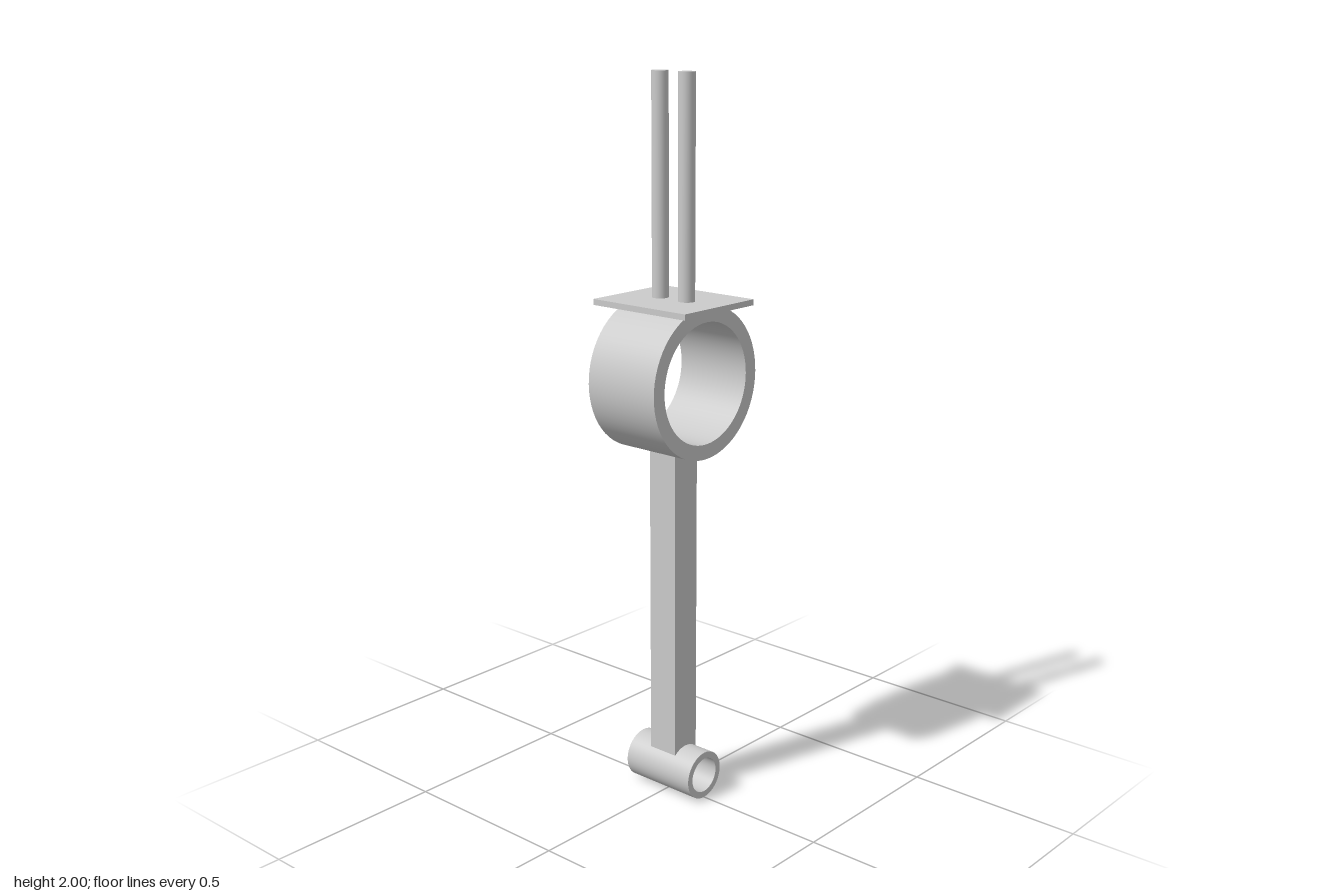
import * as THREE from 'three';

const material = new THREE.MeshStandardMaterial({ color: 0xcccccc });

function add(group, name, geometry, x, y, z) {
  const mesh = new THREE.Mesh(geometry, material);
  mesh.name = name;
  mesh.position.set(x, y, z);
  group.add(mesh);
}

// Hollow bearing sleeve with its axis along x; repeated corners keep the rims sharp
function sleeve(outer, inner, width) {
  const h = width / 2;
  const corners = [[inner, -h], [outer, -h], [outer, h], [inner, h]].map(([r, y]) => new THREE.Vector2(r, y));
  const sides = corners.map((p, i) => new THREE.LatheGeometry([p, corners[(i + 1) % 4]], 64));
  return sides.map((g) => g.rotateZ(Math.PI / 2));
}

export function createModel() {
  const group = new THREE.Group();
  group.name = 'connectingRod';

  // Small and big end sleeves
  const ends = [
    ['smallEnd', 0.0685, 0.05, 0.0685],
    ['bigEnd', 0.206, 0.165, 1.2],
  ];
  for (const [name, outer, inner, y] of ends) {
    const end = new THREE.Group();
    end.name = name;
    const faces = ['RightRim', 'OuterWall', 'LeftRim', 'Bore'];
    sleeve(outer, inner, 0.23).forEach((g, i) => add(end, name + faces[i], g, 0, y, 0));
    group.add(end);
  }

  // Square shank, ending inside both sleeve walls
  add(group, 'shank', new THREE.BoxGeometry(0.09, 0.893, 0.09), 0, 0.5685, 0);

  // Cap plate on the big end
  add(group, 'capPlate', new THREE.BoxGeometry(0.32, 0.016, 0.276), 0, 1.404, 0);

  // Pair of upright rods on the plate
  for (const side of [-1, 1]) {
    add(group, side > 0 ? 'leftRod' : 'rightRod',
      new THREE.CylinderGeometry(0.0225, 0.0225, 0.592, 32), side * 0.046, 1.704, 0);
  }
  return group;
}
